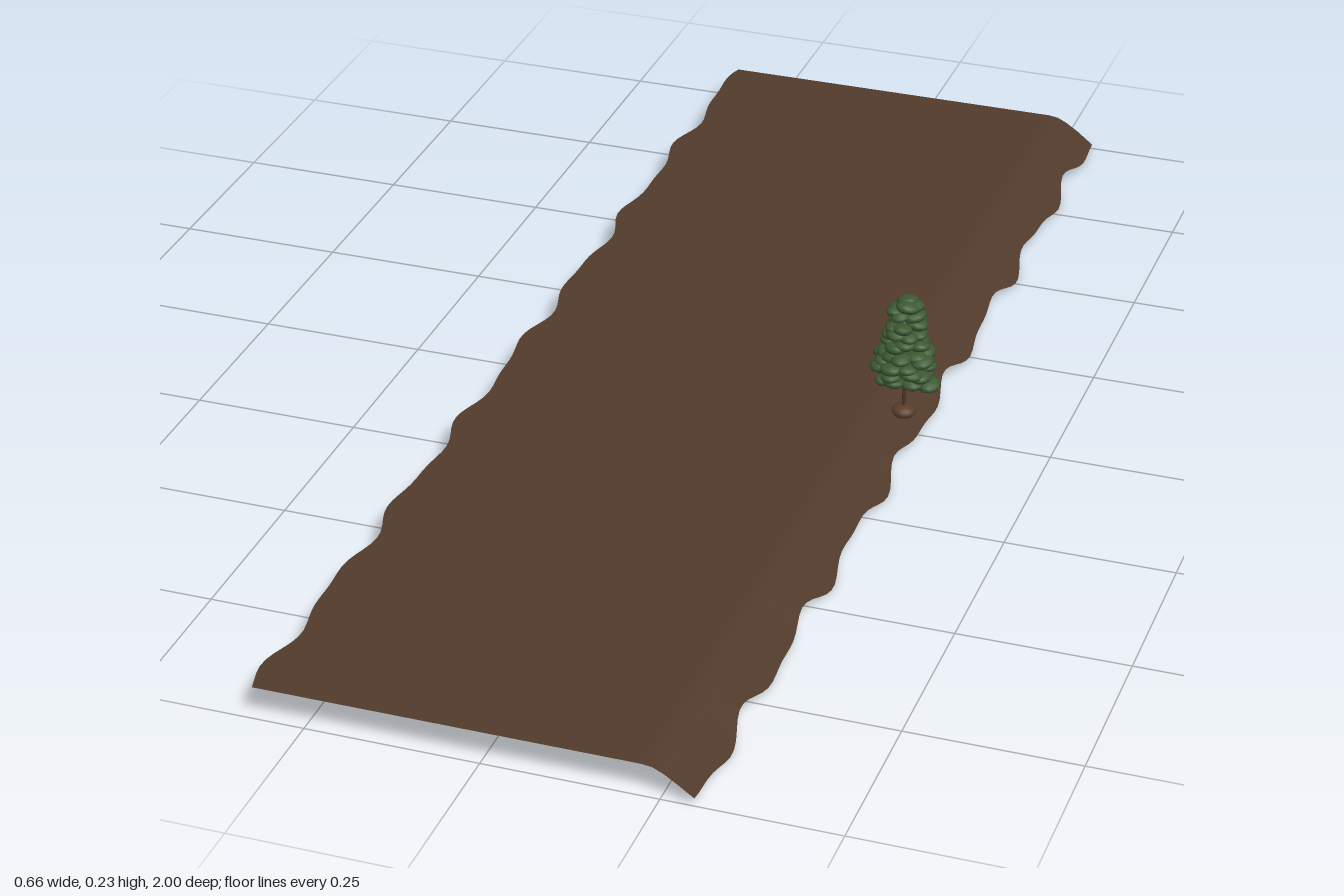
import * as THREE from 'three';

const mat = (name, color, side = THREE.FrontSide) => {
  const m = new THREE.MeshStandardMaterial({ color, side });
  m.name = name;
  return m;
};

function seeded(seed) {
  return () => {
    seed = (seed * 16807) % 2147483647;
    return seed / 2147483647;
  };
}

// Irregular erosion wave, between about -1 and 1
const wave = (z, phase) =>
  0.65 * Math.sin((z * 2 * Math.PI) / 0.235 + phase) + 0.35 * Math.sin((z * 2 * Math.PI) / 0.137 + phase * 2.3);

// Open sheet: flat top, rounded shoulder, and a bank falling to a ragged edge
function groundGeometry() {
  const rows = 120;
  const section = (z) => {
    const l = wave(z, 1.1), r = wave(z, 2.6);
    return [
      [-0.323 - 0.011 * l, 0.052], [-0.15, 0.052], [0.05, 0.052], [0.225, 0.052],
      [0.24, 0.050], [0.255, 0.043], [0.275, 0.030], [0.299 + 0.009 * r, 0.012 - 0.010 * r],
    ];
  };
  const pos = [], index = [];
  for (let i = 0; i <= rows; i++) {
    const z = -1 + (2 * i) / rows;
    const pts = section(z);
    pts.forEach(([x, y]) => pos.push(x, y, z));
    if (i === rows) break;
    const n = pts.length;
    for (let j = 0; j < n - 1; j++) {
      const a = i * n + j, b = a + n;
      index.push(a, b, a + 1, a + 1, b, b + 1);
    }
  }
  const g = new THREE.BufferGeometry();
  g.setAttribute('position', new THREE.Float32BufferAttribute(pos, 3));
  g.setIndex(index);
  g.computeVertexNormals();
  return g;
}

export function createModel() {
  const earth = mat('earth brown', 0x513b2c, THREE.DoubleSide);
  const soil = mat('root soil brown', 0x5c3c2a);
  const bark = mat('bark brown', 0x4a3524);
  const leaf = mat('leaf green', 0x3c5a32);

  const model = new THREE.Group();
  const add = (parent, name, geo, m) => {
    const mesh = new THREE.Mesh(geo, m);
    mesh.name = name;
    parent.add(mesh);
    return mesh;
  };

  add(model, 'ground', groundGeometry(), earth);

  const tree = new THREE.Group();
  tree.name = 'tree';
  tree.position.set(0.275, 0, 0);
  model.add(tree);

  // Root ball and trunk
  const ball = add(tree, 'rootBall', new THREE.SphereGeometry(1, 14, 10), soil);
  ball.scale.set(0.018, 0.0105, 0.018);
  ball.position.y = 0.04;
  add(tree, 'trunk', new THREE.CylinderGeometry(0.001, 0.003, 0.165, 8), bark).position.y = 0.1275;

  // Thin branches, then flattened leaf clumps in tiers around the trunk
  const rand = seeded(71);
  const up = new THREE.Vector3(0, 1, 0);
  const branch = (x, y, z) => {
    const start = new THREE.Vector3(0, y - 0.014, 0);
    const dir = new THREE.Vector3(x, y, z).sub(start);
    const b = add(tree, 'branch', new THREE.CylinderGeometry(0.0004, 0.001, dir.length(), 5), bark);
    b.position.copy(start).addScaledVector(dir, 0.5);
    b.quaternion.setFromUnitVectors(up, dir.normalize());
  };
  const clumpShape = new THREE.SphereGeometry(1, 12, 8);
  const clump = (x, y, z, r) => {
    const c = add(tree, 'leafClump', clumpShape, leaf);
    c.position.set(x, y, z);
    c.scale.set(r, r * 0.5, r * 0.88);
    c.rotation.set((rand() - 0.5) * 0.35, rand() * Math.PI, (rand() - 0.5) * 0.35);
  };

  // Tiers: height, ring radius, clump count
  const tiers = [
    [0.100, 0.029, 8], [0.114, 0.034, 9], [0.129, 0.031, 9], [0.144, 0.026, 8],
    [0.159, 0.023, 7], [0.174, 0.021, 7], [0.189, 0.018, 6], [0.203, 0.015, 5], [0.216, 0.011, 4],
  ];
  tiers.forEach(([y, ring, count], t) => {
    for (let i = 0; i < count; i++) {
      const a = ((i + rand() * 0.5) / count) * Math.PI * 2 + t * 0.9;
      const d = ring * (0.85 + rand() * 0.25);
      const x = Math.cos(a) * d, z = Math.sin(a) * d;
      const h = y + (rand() - 0.5) * 0.012;
      clump(x, h, z, 0.0155 + rand() * 0.004);
      if (t < 4 && i % 2 === 0) branch(x, h, z);
    }
    clump(0, y + 0.003, 0, 0.016);
  });
  clump(0.002, 0.225, 0, 0.016);

  // Low stray clump on the outer side
  clump(0.039, 0.093, 0.004, 0.019);
  branch(0.039, 0.093, 0.004);
  branch(-0.03, 0.096, 0.004);

  return model;
}
